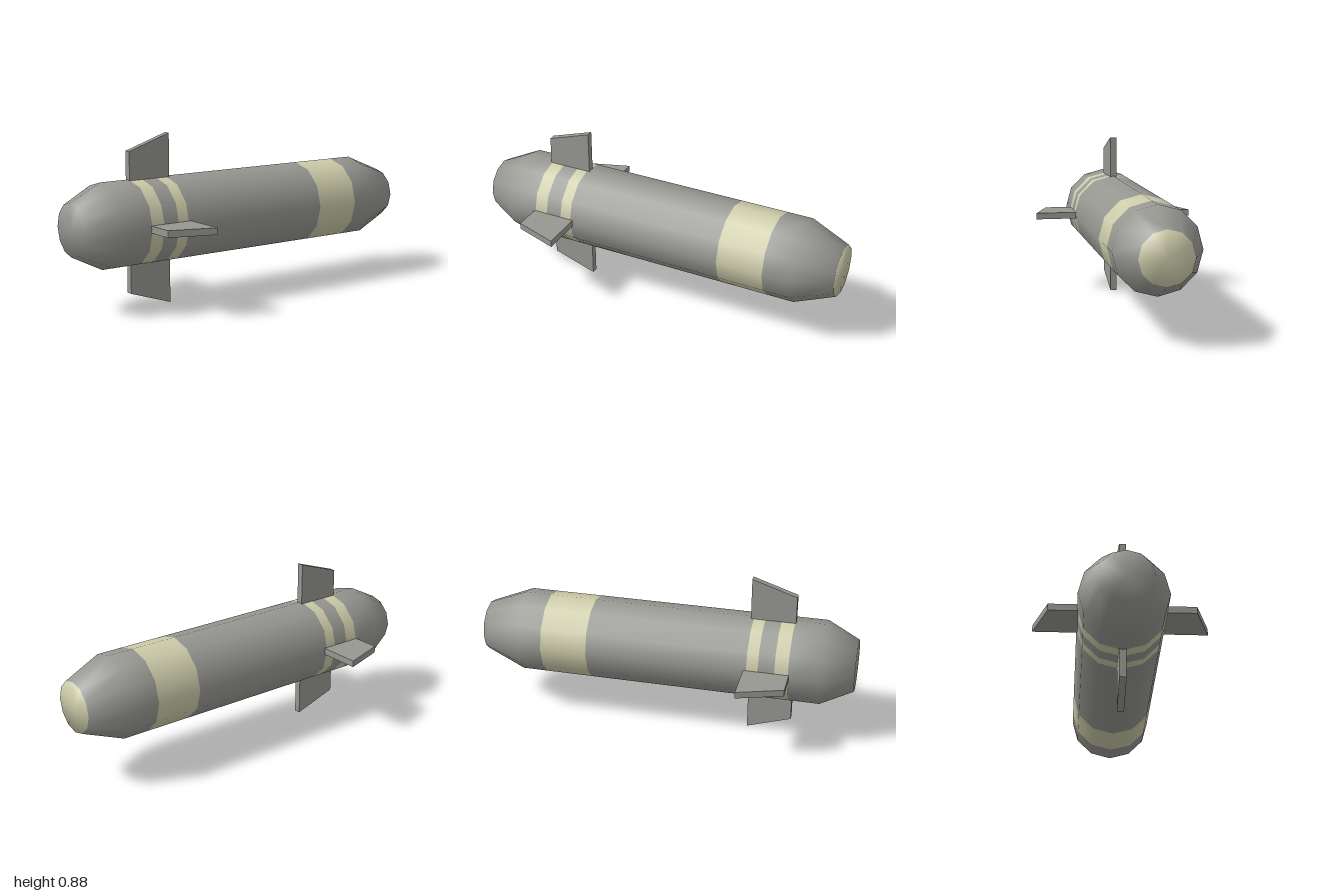
import * as THREE from 'three';

export function createModel() {
  const grey = new THREE.MeshStandardMaterial({ color: 0x979792 });
  grey.name = 'grey';
  const cream = new THREE.MeshStandardMaterial({ color: 0xcdccaa });
  cream.name = 'cream';

  const group = new THREE.Group();
  group.name = 'missile';
  const R = 0.22, END = 0.135;

  // Hull profile from tail to nose: [radius, z, material of the section that follows]
  const profile = [
    [0, -1, 1], [END, -1, 0], [R, -0.79, 0],
    [R, -0.65, 1], [R, -0.4, 0],
    [R, 0.455, 1], [R, 0.515, 0],
    [R, 0.6, 1], [R, 0.67, 0],
    [R, 0.83, 0], [END, 1, 0], [0, 1, 0],
  ];
  const hullGeometry = new THREE.LatheGeometry(profile.map(([r, z]) => new THREE.Vector2(r, z)), 12);

  // Sort the faces by section colour, keeping the shared smooth normals
  const faces = [[], []];
  const index = hullGeometry.index.array;
  for (let q = 0; q < index.length / 6; q++) {
    const section = q % (profile.length - 1);
    faces[profile[section][2]].push(...index.slice(q * 6, q * 6 + 6));
  }
  hullGeometry.setIndex([...faces[0], ...faces[1]]);
  hullGeometry.addGroup(0, faces[0].length, 0);
  hullGeometry.addGroup(faces[0].length, faces[1].length, 1);
  hullGeometry.rotateX(Math.PI / 2);

  const hull = new THREE.Mesh(hullGeometry, [grey, cream]);
  hull.name = 'hull';
  hull.position.y = 0.44;
  group.add(hull);

  // Four tapered fins around the hull
  const finShape = new THREE.Shape([
    new THREE.Vector2(0.19, 0.44), new THREE.Vector2(0.44, 0.44),
    new THREE.Vector2(0.362, 0.675), new THREE.Vector2(0.19, 0.675),
  ]);
  const thickness = 0.035;
  const finGeometry = new THREE.ExtrudeGeometry(finShape, { depth: thickness, bevelEnabled: false });
  finGeometry.translate(0, 0, -thickness / 2).rotateX(Math.PI / 2);

  ['leftFin', 'topFin', 'rightFin', 'bottomFin'].forEach((name, i) => {
    const fin = new THREE.Mesh(finGeometry, grey);
    fin.name = name;
    fin.position.y = 0.44;
    fin.rotation.z = i * Math.PI / 2;
    group.add(fin);
  });

  return group;
}
